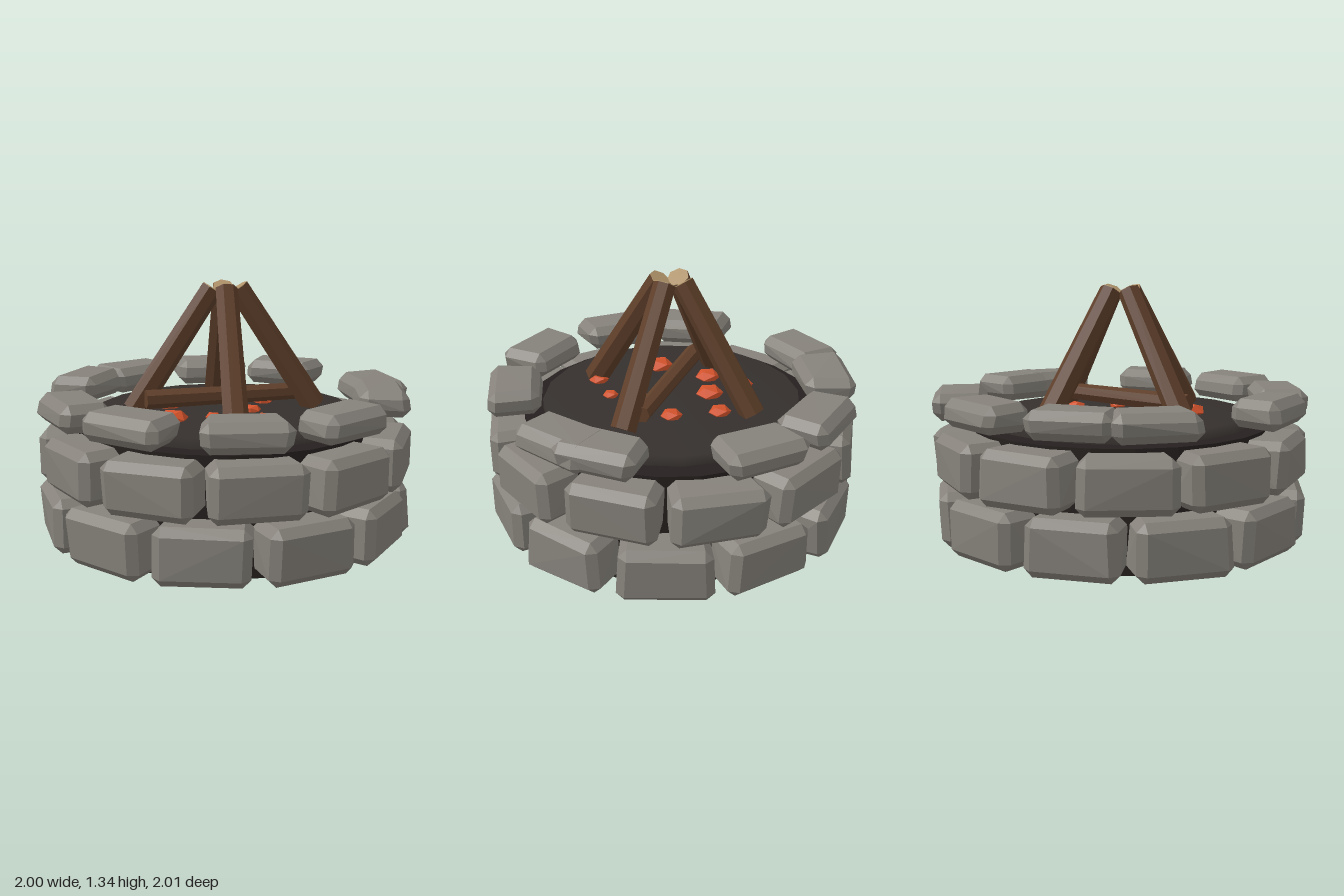
import * as THREE from 'three';
import { ConvexGeometry } from 'three/addons/geometries/ConvexGeometry.js';

const paint = (color, flatShading = true) => {
  const m = new THREE.MeshStandardMaterial({ color });
  m.flatShading = flatShading;
  return m;
};
const STONE = paint(0x86827b), CORE = paint(0x26211f), ASH = paint(0x35302d, false);
const BARK = paint(0x5f3f2a), CUT = paint(0xb0936a), EMBER = paint(0xd4532c);
STONE.side = CORE.side = THREE.FrontSide;

// Small seeded generator, returns -1..1
let seed = 7;
const jitter = () => {
  seed = (seed * 16807) % 2147483647;
  return (seed / 2147483647) * 2 - 1;
};

function add(parent, name, geometry, material) {
  const mesh = new THREE.Mesh(geometry, material);
  mesh.name = name;
  parent.add(mesh);
  return mesh;
}

// Box with chamfered edges, slightly irregular corners and a narrower inner side
function stoneGeometry(w, h, d, bevel) {
  const points = [];
  for (const sx of [-1, 1]) for (const sy of [-1, 1]) for (const sz of [-1, 1]) {
    const x = sx * (w / 2) * (sz < 0 ? 0.92 : 1) + jitter() * 0.01;
    const y = sy * (h / 2) + jitter() * 0.004;
    const z = sz * (d / 2) + jitter() * 0.01;
    for (let axis = 0; axis < 3; axis++) {
      const b = [bevel, bevel, bevel];
      b[axis] = 0;
      points.push(new THREE.Vector3(x - sx * b[0], y - sy * b[1], z - sz * b[2]));
    }
  }
  return new ConvexGeometry(points);
}

// Ring of stones; angles in degrees, measured from the front towards +x
function stoneRing(name, angles, radius, y, size, bevel) {
  const ring = new THREE.Group();
  ring.name = name;
  for (const deg of angles) {
    const a = THREE.MathUtils.degToRad(deg), r = radius + jitter() * 0.01;
    const [w, h, d] = size;
    const stone = add(ring, 'stone', stoneGeometry(w + jitter() * 0.012, h, d, bevel), STONE);
    stone.position.set(Math.sin(a) * r, y, Math.cos(a) * r);
    stone.rotation.y = a + jitter() * 0.03;
  }
  return ring;
}

// Faceted log between two points, with an optional pale cut end at the second
function log(name, from, to, rBottom, rTop, paleEnd) {
  const group = new THREE.Group();
  group.name = name;
  const axis = to.clone().sub(from), length = axis.length();
  add(group, 'bark', new THREE.CylinderGeometry(rTop, rBottom, length, 7), BARK);
  if (paleEnd) {
    const cut = add(group, 'cutEnd', new THREE.CylinderGeometry(rTop * 0.98, rTop * 0.98, 0.006, 7), CUT);
    cut.position.y = length / 2;
  }
  group.position.copy(from).add(to).multiplyScalar(0.5);
  group.quaternion.setFromUnitVectors(new THREE.Vector3(0, 1, 0), axis.normalize());
  return group;
}

export function createModel() {
  const model = new THREE.Group();
  model.name = 'firePit';

  // Dark core behind the stones, and the ash bed on top
  const core = add(model, 'core', new THREE.CylinderGeometry(0.79, 0.79, 0.61, 24), CORE);
  core.position.y = 0.305;
  const bed = [[0.69, 0.58], [0.69, 0.665], [0, 0.665]].map(p => new THREE.Vector2(...p));
  add(model, 'ashBed', new THREE.LatheGeometry(bed, 20), ASH);

  // Two staggered wall courses and the loose cap stones
  const course = offset => Array.from({ length: 11 }, (_, i) => offset + (i * 360) / 11);
  model.add(stoneRing('lowerCourse', course(6.8), 0.835, 0.155, [0.465, 0.285, 0.26], 0.042));
  model.add(stoneRing('upperCourse', course(23.2), 0.835, 0.457, [0.465, 0.27, 0.26], 0.042));
  const capAngles = [-17.5, 20, 55.5, 101, 117, 168, 199.6, 235, 260.5, 311];
  model.add(stoneRing('capStones', capAngles, 0.84, 0.732, [0.43, 0.142, 0.27], 0.042));

  // Four leaning logs meeting at the top
  for (let i = 0; i < 4; i++) {
    const a = THREE.MathUtils.degToRad(20 + i * 90);
    const at = (r, y) => new THREE.Vector3(Math.sin(a) * r, y, Math.cos(a) * r);
    model.add(log('leaningLog', at(0.485, 0.67), at(0.068, 1.31), 0.068, 0.06, true));
  }
  // One log lying on the ash
  model.add(log('lyingLog', new THREE.Vector3(-0.37, 0.74, 0.23),
    new THREE.Vector3(0.37, 0.74, -0.2), 0.052, 0.046, false));

  // Embers: x, z, radius
  const embers = [
    [-0.37, -0.16, 0.064], [-0.16, -0.13, 0.075], [-0.3, 0.04, 0.07], [-0.05, -0.33, 0.06],
    [0.17, -0.2, 0.058], [0.16, 0.04, 0.05], [0.26, 0.2, 0.043], [-0.19, 0.33, 0.08],
    [0, 0.25, 0.043], [0.19, 0.4, 0.055],
  ];
  for (const [x, z, r] of embers) {
    const ember = add(model, 'ember', new THREE.IcosahedronGeometry(r, 0), EMBER);
    ember.position.set(x, 0.672, z);
    ember.scale.y = 0.6;
  }
  return model;
}
